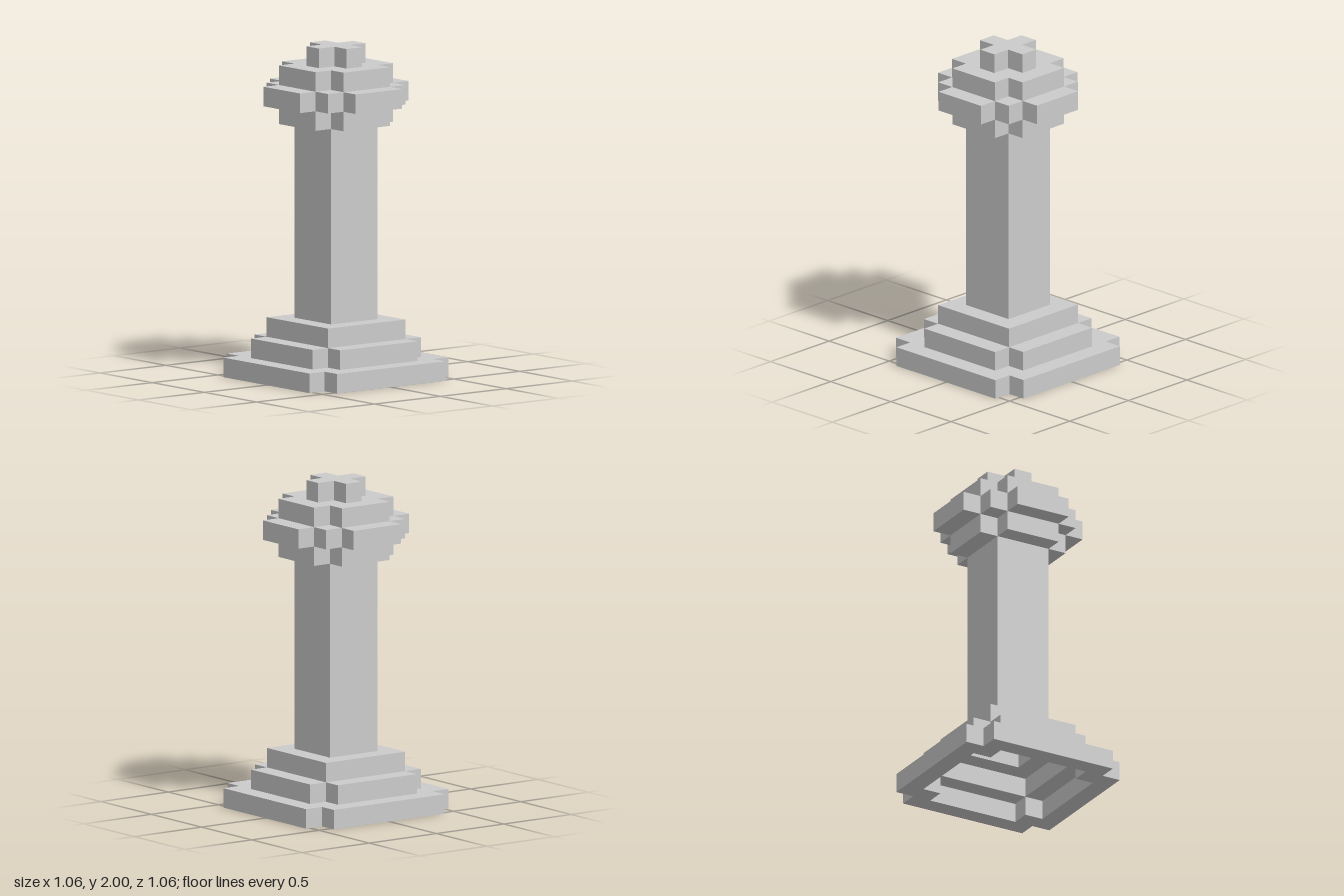
import * as THREE from 'three';

const U = 2 / 17; // one block

// Stepped, four-fold symmetric outline; steps are the half-widths in blocks, widest first
function outline(steps, Type) {
  const n = steps.length, quarter = [];
  steps.forEach((s, i) => {
    quarter.push([s, steps[n - 1 - i]]);
    if (i < n - 1) quarter.push([steps[i + 1], steps[n - 1 - i]]);
  });
  const points = [];
  for (let q = 0; q < 4; q++) {
    const c = [1, 0, -1, 0][q], s = [0, 1, 0, -1][q];
    for (const [x, y] of quarter) {
      points.push(new THREE.Vector2((x * c - y * s) * U, (x * s + y * c) * U));
    }
  }
  return new Type(points);
}

export function createModel() {
  const group = new THREE.Group();
  group.name = 'column';
  const material = new THREE.MeshStandardMaterial({ color: 0xcccccc, flatShading: true });

  // name, bottom and height in blocks, outer steps, hollow steps
  const layers = [
    ['basePlinth', 0, 1, [4.5, 3.5], [3.5, 2.5]],
    ['baseMiddleStep', 1, 1, [3.5, 2.5], [2.499]],
    ['baseTopStep', 2, 1, [2.5], [1.5]],
    ['shaft', 3, 10, [1.5], [0.5]],
    ['capitalLower', 13, 1, [2.5, 1.5], [0.5]],
    ['capitalMiddle', 14, 1, [3.5, 2.5, 1.5], [0.5]],
    ['capitalUpper', 15, 1, [2.5, 1.5], [0.5]],
    ['topCross', 16, 1, [1.5, 0.5], null],
  ];

  for (const [name, bottom, height, outer, hollow] of layers) {
    const shape = outline(outer, THREE.Shape);
    if (hollow) shape.holes.push(outline(hollow, THREE.Path));
    const geometry = new THREE.ExtrudeGeometry(shape, { depth: height * U, bevelEnabled: false });
    geometry.rotateX(-Math.PI / 2);
    const mesh = new THREE.Mesh(geometry, material);
    mesh.name = name;
    mesh.position.y = bottom * U;
    group.add(mesh);
  }
  return group;
}
